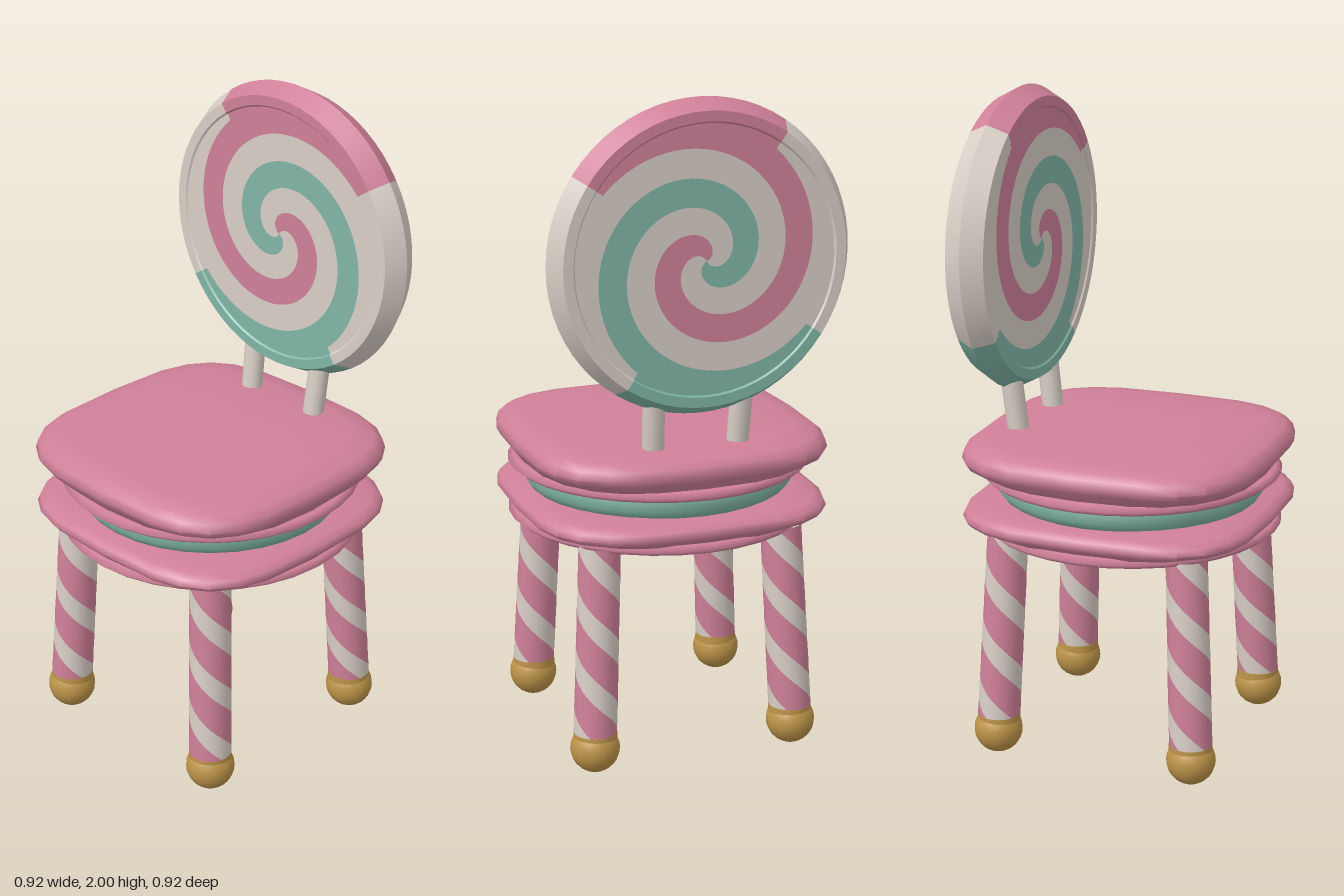
import * as THREE from 'three';
import { toCreasedNormals } from 'three/addons/utils/BufferGeometryUtils.js';

const mat = (name, color) => {
  const m = new THREE.MeshStandardMaterial({ color });
  m.name = name;
  return m;
};

export function createModel() {
  const pink = mat('pink', 0xcf8099);
  const cream = mat('cream', 0xd8cec6);
  const teal = mat('teal', 0x80b5a6);
  const gold = mat('gold', 0xbd9449);
  const model = new THREE.Group();

  const add = (parent, name, geometry, material) => {
    const mesh = new THREE.Mesh(geometry, material);
    mesh.name = name;
    parent.add(mesh);
    return mesh;
  };
  const lathe = (points, segments, start = 0) =>
    new THREE.LatheGeometry(points.map(([r, y]) => new THREE.Vector2(r, y)), segments, start);

  // Move every vertex by a rule
  const warp = (geometry, rule) => {
    const pos = geometry.attributes.position;
    const v = new THREE.Vector3();
    for (let i = 0; i < pos.count; i++) {
      rule(v.fromBufferAttribute(pos, i));
      pos.setXYZ(i, v.x, v.y, v.z);
    }
    geometry.computeVertexNormals();
    return geometry;
  };

  // Assign a material index to each column of a revolved surface
  const paintColumns = (geometry, columns, pick) => {
    const size = geometry.index.count / columns;
    geometry.clearGroups();
    for (let i = 0; i < columns; i++) geometry.addGroup(i * size, size, pick(i));
    return geometry;
  };

  // Cushion shells: round underneath, swelling to a rounded square
  const shellProfile = [[0, 0], [0.4, 0], [0.43, 0.035], [0.448, 0.06], [0.459, 0.08],
    [0.452, 0.105], [0.43, 0.122], [0.37, 0.134], [0.2, 0.139], [0, 0.14]];
  const squareOff = (v) => {
    const r = Math.hypot(v.x, v.z);
    if (r < 1e-4) return;
    const w = THREE.MathUtils.clamp((v.y - 0.005) / 0.05, 0, 1);
    const bend = (c) => Math.sign(c) * Math.pow(Math.abs(c), 0.58) * r;
    v.x = THREE.MathUtils.lerp(v.x, bend(v.x / r), w);
    v.z = THREE.MathUtils.lerp(v.z, bend(v.z / r), w);
  };
  const addShell = (name, y, scaleY) => {
    const shell = new THREE.Group();
    shell.name = name;
    shell.position.y = y;
    model.add(shell);
    const body = toCreasedNormals(warp(lathe(shellProfile, 24), squareOff), 0.9);
    add(shell, 'cushion', body, pink).scale.y = scaleY;
    const frill = new THREE.TorusGeometry(0.425, 0.034, 6, 32).rotateX(Math.PI / 2).scale(1, 0.5, 1);
    add(shell, 'frill', frill, pink).position.y = 0.015;
  };
  addShell('lowerSeatShell', 0.69, 0.72);
  addShell('upperSeatShell', 0.85, 1);

  // Round filling between the shells
  add(model, 'seatFilling', toCreasedNormals(lathe([[0, 0.77], [0.37, 0.77], [0.395, 0.79],
    [0.408, 0.81], [0.408, 0.85], [0.395, 0.87], [0, 0.875]], 32), 0.9), teal);

  // Splayed legs with two-start spiral stripes and ball feet
  const legTop = 0.7, legBottom = 0.125, columns = 20;
  for (const sx of [-1, 1]) for (const sz of [-1, 1]) {
    const leg = new THREE.Group();
    leg.name = (sz > 0 ? 'front' : 'back') + (sx > 0 ? 'Left' : 'Right') + 'Leg';
    model.add(leg);
    const h = legTop - legBottom;
    const axis = new THREE.Vector3(0, 1, 0);
    const stripes = new THREE.CylinderGeometry(0.062, 0.065, h, columns, 36, true);
    stripes.translate(0, (legTop + legBottom) / 2, 0);
    paintColumns(stripes, columns, (i) => (i % 10 < 6 ? 0 : 1));
    warp(stripes, (v) => {
      const spread = 0.312 - 0.027 * (v.y - legBottom) / h;
      v.applyAxisAngle(axis, -2 * Math.PI * (v.y - 0.62) / 0.38 + 0.7);
      v.x += sx * spread;
      v.z += sz * spread;
    });
    add(leg, 'stripedLeg', stripes, [pink, cream]);
    add(leg, 'footCollar', new THREE.CylinderGeometry(0.065, 0.067, 0.05, 20), gold)
      .position.set(sx * 0.312, 0.1, sz * 0.312);
    add(leg, 'ballFoot', new THREE.SphereGeometry(0.074, 20, 14), gold)
      .position.set(sx * 0.314, 0.074, sz * 0.314);
  }

  // Short posts carrying the backrest
  for (const sx of [-1, 1]) {
    const from = new THREE.Vector3(sx * 0.13, 0.95, -0.312);
    const to = new THREE.Vector3(sx * 0.136, 1.16, -0.337);
    const path = new THREE.LineCurve3(from, to);
    add(model, sx > 0 ? 'leftBackPost' : 'rightBackPost',
      new THREE.TubeGeometry(path, 1, 0.033, 12), cream);
  }

  // Round backrest: quarter sectors wound into a spiral inside the rim
  const faceR = 0.37, steps = 80, sectors = 64;
  const face = [];
  for (let i = 0; i <= steps; i++) face.push([faceR * i / steps, -0.055]);
  const half = [...face, [0.39, -0.055], [0.395, -0.06], [0.425, -0.06]];
  const profile = [...half, [0.457, 0], ...half.map(([r, z]) => [r, -z]).reverse()];
  const back = lathe(profile, sectors, THREE.MathUtils.degToRad(34 + 90));
  paintColumns(back, sectors, (i) => [0, 1, 2, 1][Math.floor(i * 4 / sectors)]);
  back.rotateX(Math.PI / 2);
  const zAxis = new THREE.Vector3(0, 0, 1);
  warp(back, (v) => {
    const r = Math.min(Math.hypot(v.x, v.y), faceR);
    v.applyAxisAngle(zAxis, (faceR - r) / 0.085 * Math.PI / 2);
  });
  add(model, 'spiralBackrest', toCreasedNormals(back, 0.4), [pink, cream, teal])
    .position.set(0, 1.543, -0.345);

  return model;
}
